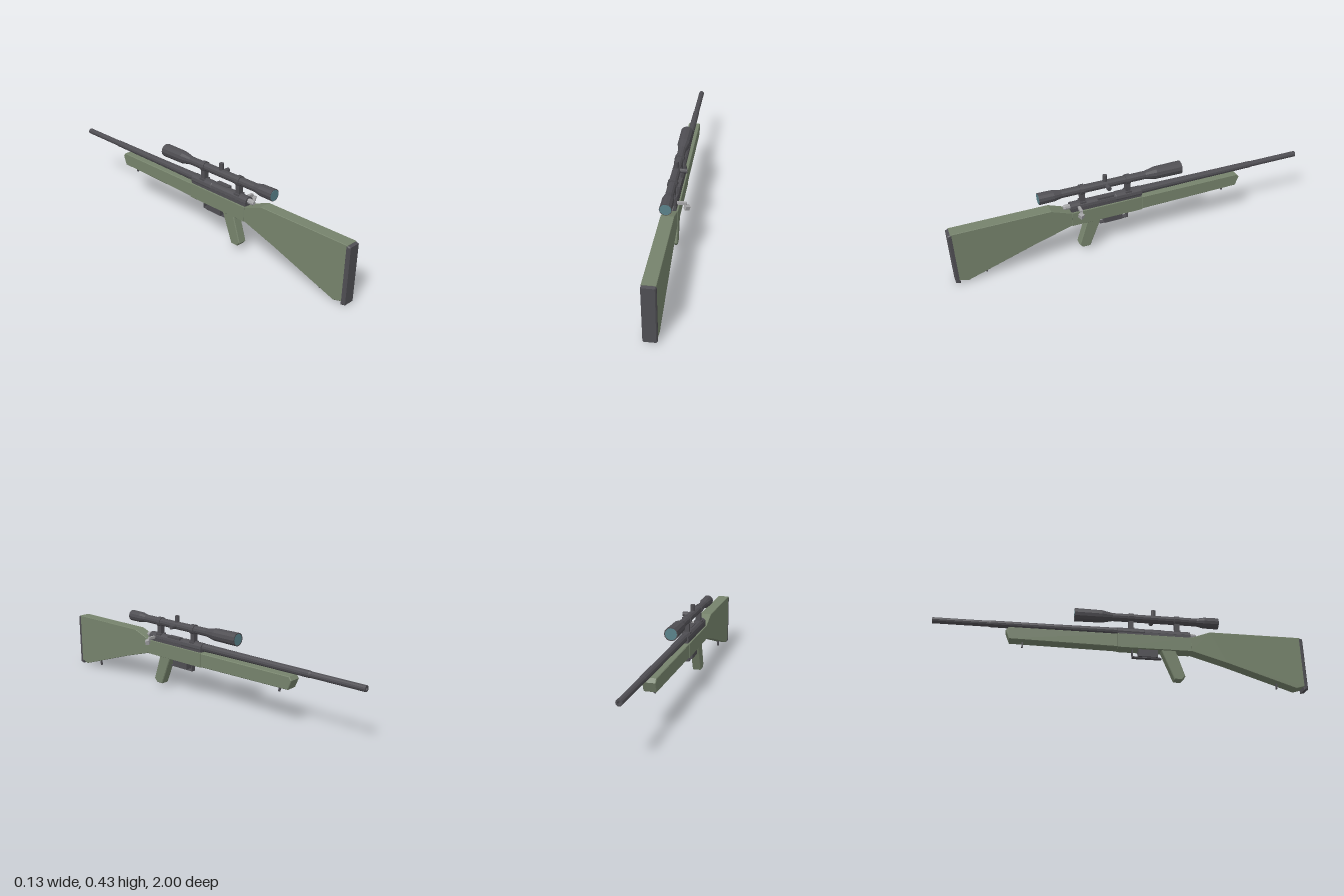
import * as THREE from 'three';

const CX = -0.029; // centre plane of the rifle
const SCOPE_Y = 0.38;

const make = (color, name) => {
  const m = new THREE.MeshStandardMaterial({ color, flatShading: true });
  m.name = name;
  return m;
};

export function createModel() {
  const group = new THREE.Group();
  const green = make(0x76836c, 'olive stock');
  const dark = make(0x4f4e53, 'dark metal');
  const steel = make(0xa4a4a6, 'bright steel');
  const glass = make(0x5a828a, 'lens glass');

  const add = (name, geo, mat, x = 0, y = 0, z = 0) => {
    const mesh = new THREE.Mesh(geo, mat);
    mesh.name = name;
    mesh.position.set(CX + x, y, z);
    group.add(mesh);
    return mesh;
  };
  const box = (name, mat, w, h, d, x, y, z) => add(name, new THREE.BoxGeometry(w, h, d), mat, x, y, z);

  // Side profile of [z, y] points, extruded across x with a small chamfer
  const slab = (name, mat, pts, width, bevel = 0.004) => {
    const shape = new THREE.Shape(pts.map(p => new THREE.Vector2(...p)));
    const depth = width - 2 * bevel;
    const geo = new THREE.ExtrudeGeometry(shape, {
      depth, bevelEnabled: bevel > 0, bevelSize: bevel, bevelOffset: -bevel, bevelThickness: bevel, bevelSegments: 1,
    });
    geo.translate(0, 0, -depth / 2).rotateY(-Math.PI / 2);
    return add(name, geo, mat);
  };

  // Turned part of [radius, z] points in rising z, along the barrel direction
  const turned = (name, mat, pts, y, sides = 12) =>
    add(name, new THREE.LatheGeometry(pts.map(p => new THREE.Vector2(...p)), sides).rotateX(Math.PI / 2), mat, 0, y, 0);

  // Stock: butt with sloping comb, wider action section, forend
  slab('buttStock', green, [
    [0.366, 0.19], [0.56, 0.132], [0.935, 0.007], [0.985, 0.022],
    [0.985, 0.309], [0.475, 0.309], [0.366, 0.268],
  ].reverse(), 0.066, 0.002);
  slab('actionStock', green, [[-0.03, 0.188], [0.367, 0.188], [0.367, 0.268], [-0.03, 0.268]], 0.07, 0.001);
  slab('forend', green, [
    [-0.6, 0.198], [-0.03, 0.19], [-0.03, 0.267], [-0.605, 0.267], [-0.62, 0.248],
  ], 0.066, 0.003);
  slab('grip', green, [
    [0.2, 0.2], [0.272, 0.024], [0.313, 0.024], [0.331, 0.045], [0.28, 0.2],
  ].reverse(), 0.05, 0.004);
  slab('buttPad', dark, [[0.976, 0], [1, 0.006], [1, 0.303], [0.976, 0.309]], 0.067, 0.005);

  // Barrel with a shallow bore
  turned('barrel', dark, [
    [0, -0.97], [0.008, -0.97], [0.008, -1], [0.016, -1], [0.016, -0.71],
    [0.018, -0.7], [0.019, -0.36], [0.022, -0.03], [0, -0.03],
  ], 0.293);

  // Receiver, ejection port cover and bolt
  turned('receiver', dark, [[0, -0.028], [0.029, -0.028], [0.029, 0.115], [0.027, 0.118], [0.027, 0.367], [0, 0.367]], 0.287);
  box('receiverBase', dark, 0.054, 0.03, 0.39, 0, 0.271, 0.17);
  box('portCover', dark, 0.03, 0.012, 0.09, 0.011, 0.311, 0.175);
  turned('bolt', steel, [[0, 0.36], [0.014, 0.36], [0.014, 0.395], [0.009, 0.403], [0, 0.403]], 0.292, 8);
  box('boltHandle', steel, 0.05, 0.014, 0.014, 0.045, 0.29, 0.325);
  const knob = box('boltKnob', steel, 0.024, 0.024, 0.022, 0.075, 0.27, 0.33);
  knob.rotation.set(0.2, 0.5, -0.35);
  const stem = box('boltStem', steel, 0.012, 0.02, 0.012, 0.067, 0.283, 0.326);
  stem.rotation.z = 0.4;

  // Magazine and surrounding guard
  box('magazine', dark, 0.042, 0.045, 0.104, 0, 0.17, 0.134);
  box('guardBottom', dark, 0.024, 0.006, 0.16, 0, 0.146, 0.128);
  box('guardFront', dark, 0.024, 0.05, 0.006, 0, 0.168, 0.051);

  // Sling studs
  for (const [y, z] of [[0.025, 0.835], [0.182, -0.53]]) box('slingStud', dark, 0.01, 0.03, 0.008, 0, y, z);

  // Scope body and lenses
  turned('scopeBody', dark, [
    [0, -0.257], [0.031, -0.257], [0.031, -0.262], [0.036, -0.262], [0.034, -0.115], [0.022, -0.055],
    [0.022, 0.41], [0.03, 0.45], [0.031, 0.53], [0.027, 0.53], [0.027, 0.526], [0, 0.526],
  ], SCOPE_Y);
  turned('frontLens', glass, [[0, -0.261], [0.031, -0.261], [0.031, -0.257]], SCOPE_Y);
  turned('rearLens', glass, [[0.028, 0.526], [0.028, 0.531], [0, 0.531]], SCOPE_Y);

  // Scope rings on their mounts
  for (const z of [0.298, 0.045]) {
    turned('scopeRing', dark, [[0.021, z - 0.013], [0.027, z - 0.013], [0.027, z + 0.013], [0.021, z + 0.013]], SCOPE_Y);
    box('scopeMount', dark, 0.028, 0.06, 0.026, 0, 0.333, z);
    box('mountFoot', dark, 0.044, 0.01, 0.034, 0, 0.309, z);
  }

  // Adjustment turrets on top and on the left
  const turret = () => new THREE.CylinderGeometry(0.0125, 0.0125, 0.045, 10);
  add('topTurret', turret(), dark, 0, 0.412, 0.17);
  add('sideTurret', turret().rotateZ(Math.PI / 2), dark, 0.033, SCOPE_Y, 0.165);

  return group;
}
